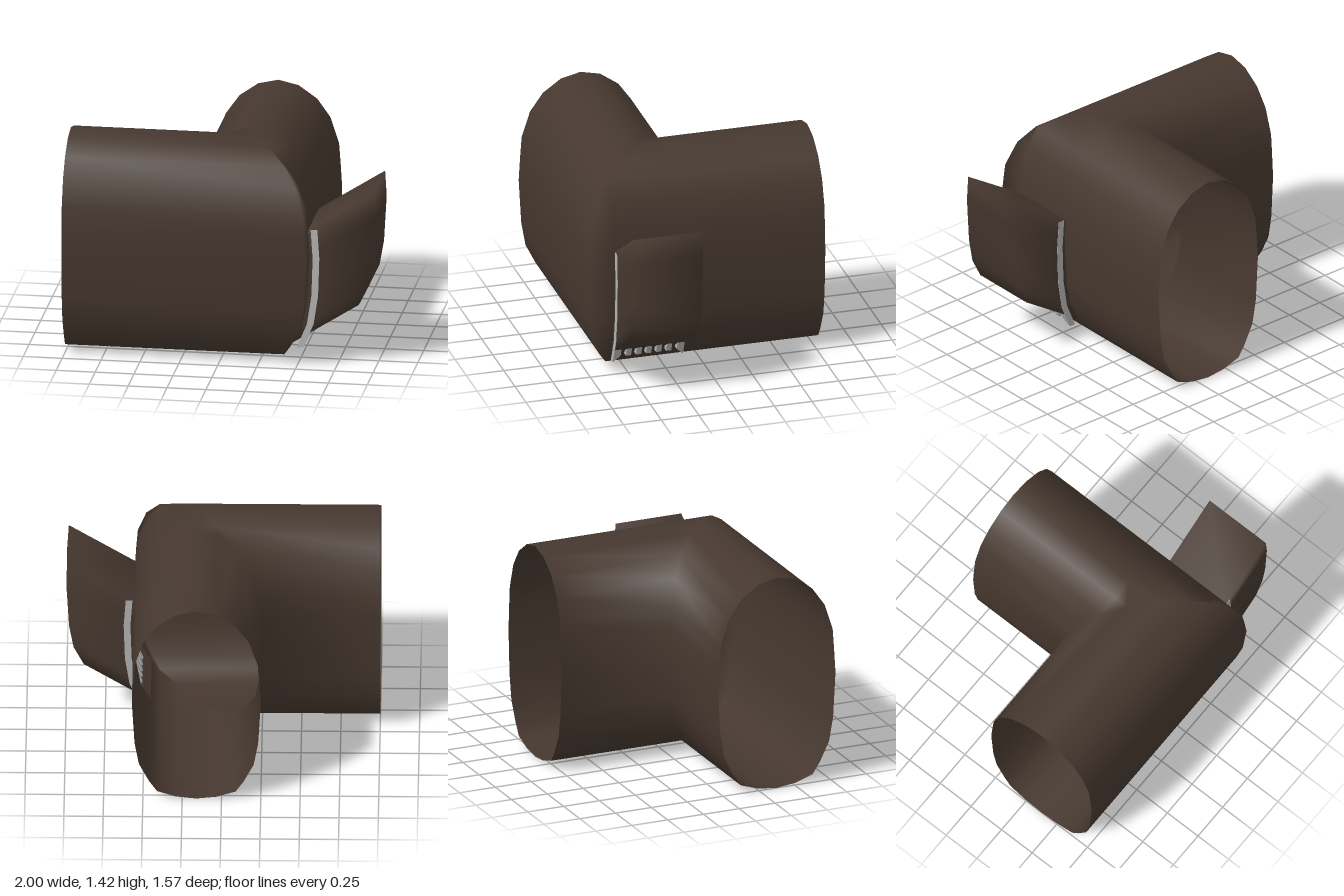
import * as THREE from 'three';
import { mergeVertices } from 'three/addons/utils/BufferGeometryUtils.js';

const brown = new THREE.MeshStandardMaterial({ color: 0x46382f, side: THREE.DoubleSide });
brown.name = 'dark brown';
const grey = new THREE.MeshStandardMaterial({ color: 0xb4b4b4 });
grey.name = 'light grey';

// Duct centre lines, open ends, and the side opening
const CX = 0.16, CZ = 0.375, END_X = -1, END_Z = -0.787;
const Z_FRONT = 0.607, Z_BACK = 0.148;

// Outer half of the duct section from top to bottom: [offset from centre, height]
const HALF = [
  [0, 1.425], [0.13, 1.395], [0.25, 1.31], [0.335, 1.19], [0.39, 1.02], [0.4, 0.885],
  [0.41, 0.72], [0.393, 0.42], [0.365, 0.26], [0.3, 0.13], [0.25, 0.055], [0.13, 0.015], [0, 0],
];
const OPEN_TOP = 5, OPEN_BOTTOM = 9;

// Smooth surface through rows of points; skip(i, j) leaves a hole
function gridSurface(rows, wrap, skip = () => false, extraQuads = []) {
  const n = rows[0].length, pts = rows.flat(), index = [];
  const tri = (a, b, c) => {
    const [p, q, r] = [a, b, c].map((k) => new THREE.Vector3(...pts[k]));
    if (q.sub(p).cross(r.sub(p)).length() > 1e-8) index.push(a, b, c);
  };
  const last = wrap ? rows.length : rows.length - 1;
  for (let i = 0; i < last; i++) {
    for (let j = 0; j < n - 1; j++) {
      if (skip(i, j)) continue;
      const a = i * n + j, c = ((i + 1) % rows.length) * n + j;
      tri(a, c, c + 1);
      tri(a, c + 1, a + 1);
    }
  }
  for (const [a, b, c, d] of extraQuads) {
    tri(a, b, c);
    tri(a, c, d);
  }
  let g = new THREE.BufferGeometry();
  g.setAttribute('position', new THREE.Float32BufferAttribute(pts.flat(), 3));
  g.setIndex(index);
  g = mergeVertices(g, 1e-4);
  g.computeVertexNormals();
  return g;
}

// Two mitred duct arms swept from one section, with an opening in the side wall
function elbowGeometry() {
  const inner = HALF.slice(1, -1).reverse().map(([u, y]) => [-u, y]);
  const rows = [...HALF, ...inner].map(([u, y]) => {
    const x = CX + u, z = CZ + u;
    return [
      [END_X, y, z], [x, y, z],
      [x, y, Math.min(Z_FRONT, z)], [x, y, Math.min(Z_BACK, z)],
      [x, y, END_Z],
    ];
  });
  return gridSurface(rows, true, (i, j) => j === 2 && i >= OPEN_TOP && i < OPEN_BOTTOM);
}

// Closed hood pushed outward and upward from the opening
function hoodGeometry() {
  const rows = HALF.slice(OPEN_TOP, OPEN_BOTTOM + 1).map(([u, y]) => {
    const x = CX + u, ox = x + 0.427, oy = y + 0.273;
    return [[x, y, Z_FRONT], [ox, oy, Z_FRONT], [ox, oy, Z_BACK], [x, y, Z_BACK]];
  });
  const b = (rows.length - 1) * 4;
  return gridSurface(rows, false, undefined, [[0, 1, 2, 3], [b + 3, b + 2, b + 1, b]]);
}

// Curved grille strip following the duct wall
function stripGeometry(bottom, depth) {
  const curve = [[0.577, 0.89], [0.59, 0.7], [0.582, 0.45], [0.553, 0.26], bottom];
  const outline = [
    ...curve.map(([x, y]) => new THREE.Vector2(x, y)),
    ...curve.map(([x, y]) => new THREE.Vector2(x + 0.043, y)).reverse(),
  ];
  return new THREE.ExtrudeGeometry(new THREE.Shape(outline), { depth, bevelEnabled: false });
}

// Frame side with its lower end cut at an angle towards the opening
function frameGeometry(innerIsFront) {
  const depth = 0.046, g = stripGeometry([0.487, 0.1], depth), p = g.attributes.position;
  for (let i = 0; i < p.count; i++) {
    const front = p.getZ(i) > depth / 2;
    if (p.getY(i) < 0.11 && front === innerIsFront) {
      p.setXYZ(i, p.getX(i) + 0.019, 0.146, p.getZ(i));
    }
  }
  g.computeVertexNormals();
  return g;
}

export function createModel() {
  const model = new THREE.Group();
  model.name = 'ductElbow';
  const add = (name, geometry, material, z = 0, parent = model) => {
    const mesh = new THREE.Mesh(geometry, material);
    mesh.name = name;
    mesh.position.z = z;
    parent.add(mesh);
  };

  add('elbowDuct', elbowGeometry(), brown);
  add('sideHood', hoodGeometry(), brown);

  // Grille across the opening: two frame sides and five bars
  const grille = new THREE.Group();
  grille.name = 'grille';
  model.add(grille);
  add('frameFront', frameGeometry(false), grey, Z_FRONT + 0.003 - 0.046, grille);
  add('frameBack', frameGeometry(true), grey, Z_BACK - 0.003, grille);
  for (let i = 0; i < 5; i++) {
    add('grilleBar' + (i + 1), stripGeometry([0.505, 0.142], 0.034), grey, 0.228 + i * 0.0665, grille);
  }
  return model;
}
